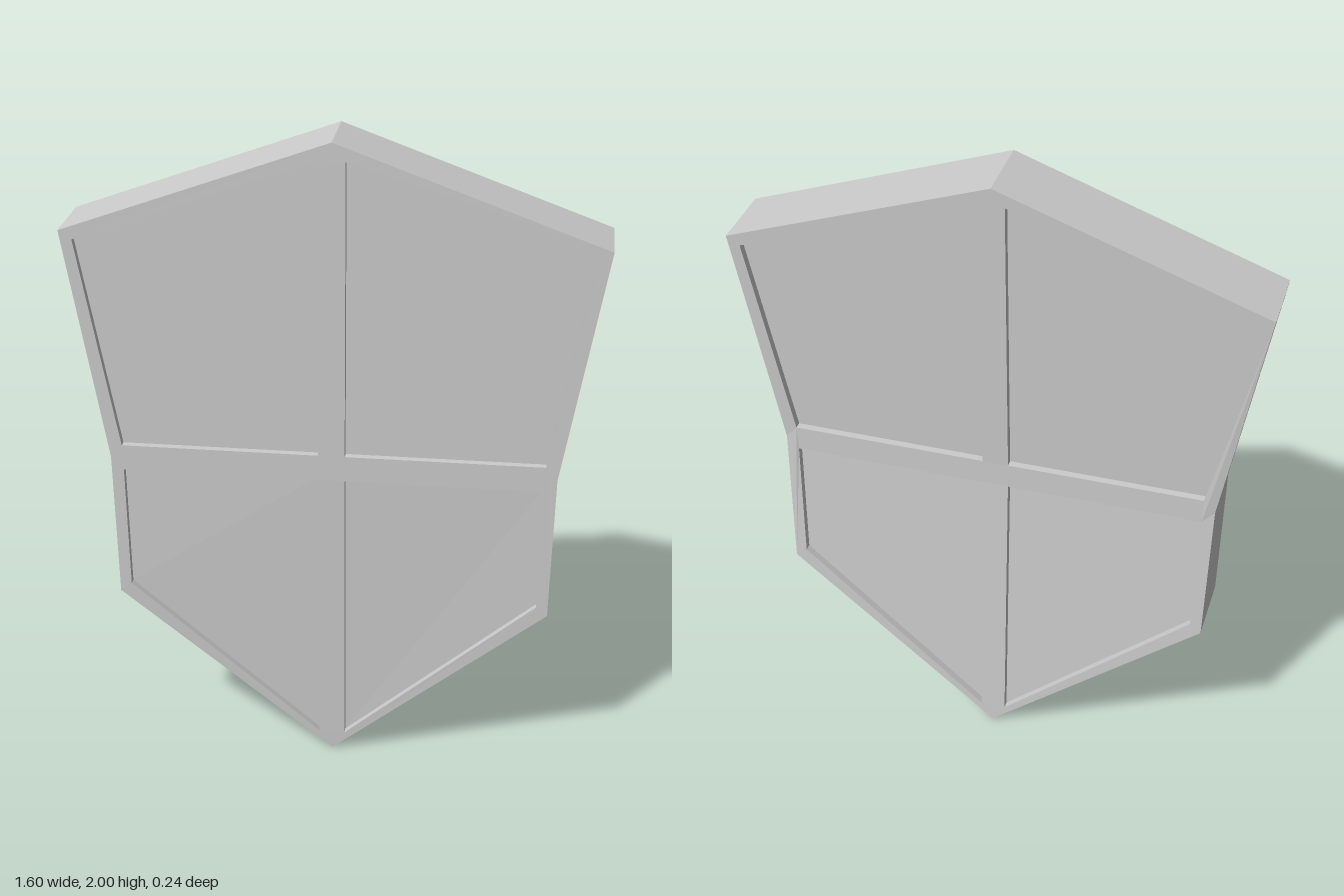
import * as THREE from 'three';

// Left half of the outline, bottom to top: x, y, front z, back z
const rim = [
  [0, 0, 0.105, -0.122],
  [0.665, 0.54, 0.12, -0.105],
  [0.675, 1, 0.118, -0.083],
  [0.8, 1.713, 0.11, -0.113],
  [0, 2, 0.105, -0.122],
];
const upperPanel = [[0.04, 1.945], [0.76, 1.687], [0.64, 1.04], [0.04, 1.04]];
const lowerPanel = [[0.04, 0.96], [0.637, 0.96], [0.63, 0.567], [0.04, 0.06]];
const recess = 0.023;

const toVectors = (points, side = 1) => points.map(([x, y]) => new THREE.Vector2(x * side, y));

// Front and back surface depth at a given height
function depthAt(y) {
  let i = 0;
  while (i < rim.length - 2 && y > rim[i + 1][1]) i++;
  const a = rim[i], b = rim[i + 1];
  const t = (y - a[1]) / (b[1] - a[1]);
  return [THREE.MathUtils.lerp(a[2], b[2], t), THREE.MathUtils.lerp(a[3], b[3], t)];
}

// Extrude a flat shape and fit it between the curved front and back surfaces
function slab(name, shape, inset, material) {
  const geometry = new THREE.ExtrudeGeometry(shape, { depth: 1, bevelEnabled: false });
  const pos = geometry.attributes.position;
  for (let i = 0; i < pos.count; i++) {
    const [front, back] = depthAt(pos.getY(i));
    pos.setZ(i, pos.getZ(i) > 0.5 ? front - inset : back + inset);
  }
  geometry.computeVertexNormals();
  const mesh = new THREE.Mesh(geometry, material);
  mesh.name = name;
  return mesh;
}

export function createModel() {
  const group = new THREE.Group();
  group.name = 'shield';
  const material = new THREE.MeshStandardMaterial({ color: 0xcccccc, flatShading: true });

  // Outer frame with its cross bars, outline counter-clockwise
  const mirrored = rim.slice(1, -1).reverse();
  const frame = new THREE.Shape([...toVectors(rim), ...toVectors(mirrored, -1)]);

  // Four panels, recessed on both faces, each in a clockwise hole of the frame
  for (const [side, sideName] of [[1, 'Left'], [-1, 'Right']]) {
    for (const [points, level] of [[upperPanel, 'upper'], [lowerPanel, 'lower']]) {
      const corners = toVectors(points, side);
      if (side < 0) corners.reverse();
      frame.holes.push(new THREE.Path(corners));
      group.add(slab(`${level}${sideName}Panel`, new THREE.Shape(corners), recess, material));
    }
  }
  group.add(slab('frame', frame, 0, material));
  return group;
}
